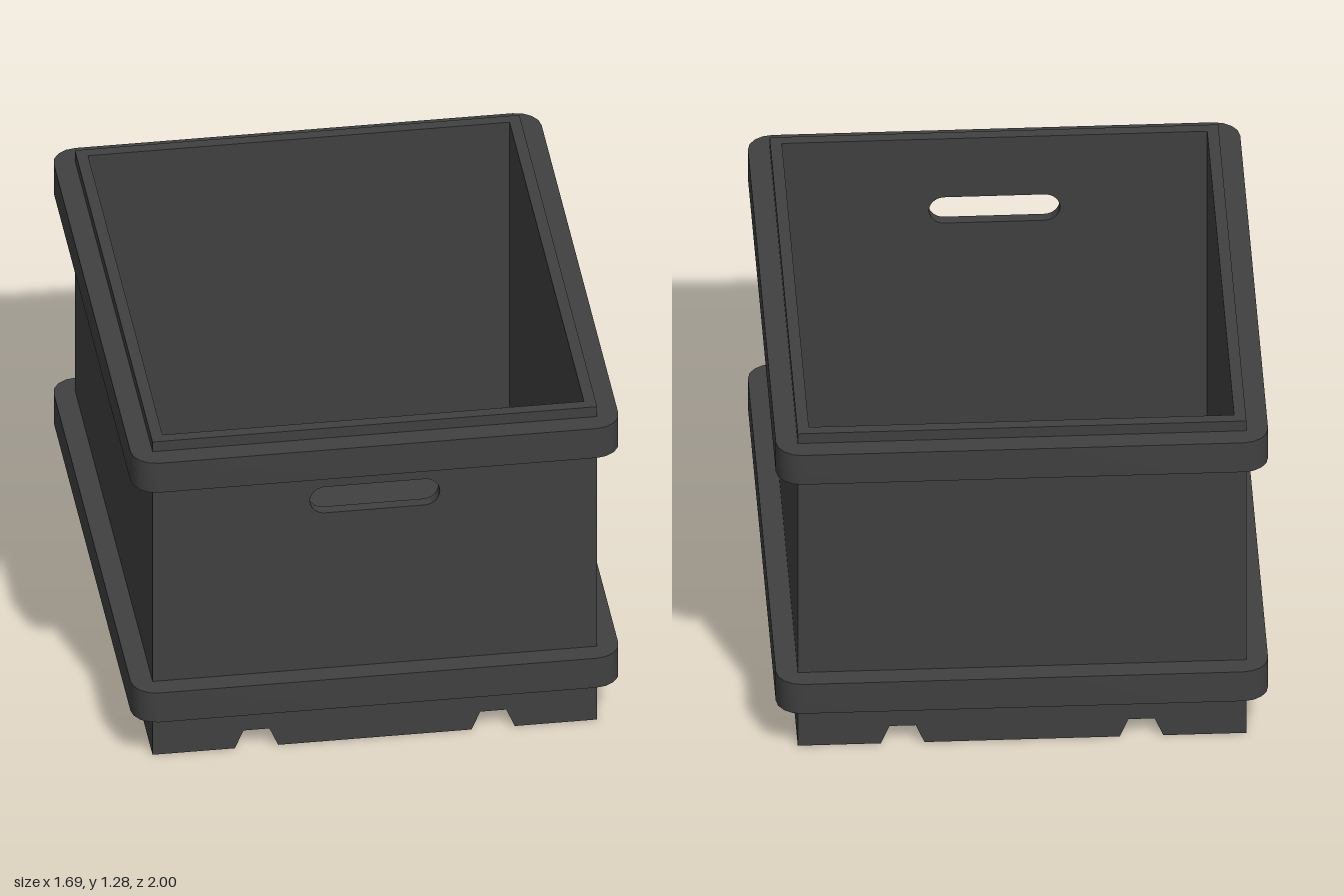
import * as THREE from 'three';
import { mergeGeometries, toCreasedNormals } from 'three/addons/utils/BufferGeometryUtils.js';

const W = 0.77, D = 0.925, H = 1.28; // outer half width, half depth, height
const T = 0.04, FLOOR = 0.11;        // wall thickness, inside floor height
const IW = W - T, ID = D - T;

const vec = (pts) => pts.map(([x, y]) => new THREE.Vector2(x, y));
const rect = (x, y0, y1) => vec([[-x, y0], [x, y0], [x, y1], [-x, y1]]);

// Underside profile from -x to +x, with two runner grooves
const groove = (c) => [[c - 0.075, 0], [c - 0.045, 0.07], [c + 0.045, 0.07], [c + 0.075, 0]];
const underside = vec([[-W, 0], ...groove(-0.41), ...groove(0.41), [W, 0]]);

// Pill-shaped hand hole, clockwise
function handHole() {
  const r = 0.053, x = 0.172, y = 0.987;
  const p = new THREE.Path();
  p.absarc(x, y, r, Math.PI / 2, -Math.PI / 2, true);
  p.absarc(-x, y, r, -Math.PI / 2, -Math.PI * 1.5, true);
  p.closePath();
  return p;
}

// Flat panel with optional hole, turned and moved into place
function panel(points, hole, [rx, ry], [x, y, z]) {
  const shape = new THREE.Shape(points);
  if (hole) shape.holes.push(hole);
  const g = new THREE.ShapeGeometry(shape, 10).toNonIndexed();
  g.deleteAttribute('uv');
  return g.rotateX(rx).rotateY(ry).translate(x, y, z);
}

// Strip that sweeps a profile in the xy plane from z0 to z1
function ribbon(points, z0, z1) {
  const pos = [];
  for (let i = 0; i < points.length - 1; i++) {
    const a = points[i], b = points[i + 1];
    if (a.distanceTo(b) < 1e-6) continue;
    pos.push(a.x, a.y, z0, b.x, b.y, z0, b.x, b.y, z1);
    pos.push(a.x, a.y, z0, b.x, b.y, z1, a.x, a.y, z1);
  }
  const g = new THREE.BufferGeometry();
  g.setAttribute('position', new THREE.Float32BufferAttribute(pos, 3));
  g.computeVertexNormals();
  return g;
}

function bodyGeometry() {
  const end = [...underside, new THREE.Vector2(W, H), new THREE.Vector2(-W, H)];
  const half = Math.PI / 2, flat = [-half, 0];
  const parts = [
    // outside walls
    panel(end, handHole(), [0, 0], [0, 0, D]),
    panel(end, null, [0, Math.PI], [0, 0, -D]),
    // inside walls
    panel(rect(IW, FLOOR, H), handHole(), [0, Math.PI], [0, 0, ID]),
    panel(rect(IW, FLOOR, H), null, [0, 0], [0, 0, -ID]),
    // floor, rim, underside and hand hole lining
    panel(rect(IW, -ID, ID), null, flat, [0, FLOOR, 0]),
    panel(rect(W, -D, D), new THREE.Path(rect(IW, -ID, ID)), flat, [0, H, 0]),
    ribbon(underside, -D, D),
    ribbon(handHole().getPoints(10), ID, D),
  ];
  for (const s of [-1, 1]) {
    parts.push(panel(rect(D, 0, H), null, [0, s * half], [s * W, 0, 0]));
    parts.push(panel(rect(ID, FLOOR, H), null, [0, -s * half], [s * IW, 0, 0]));
  }
  return toCreasedNormals(mergeGeometries(parts), 0.6);
}

// Protruding band with softened corners
function bandGeometry() {
  const x = 0.845, z = 1, r = 0.088, q = Math.PI / 2;
  const s = new THREE.Shape();
  s.absarc(x - r, z - r, r, 0, q);
  s.absarc(r - x, z - r, r, q, 2 * q);
  s.absarc(r - x, r - z, r, 2 * q, 3 * q);
  s.absarc(x - r, r - z, r, 3 * q, 4 * q);
  s.holes.push(new THREE.Path(rect(W - 0.01, 0.01 - D, D - 0.01)));
  const g = new THREE.ExtrudeGeometry(s, { depth: 0.12, bevelEnabled: false, curveSegments: 2 });
  return toCreasedNormals(g.rotateX(-q), 0.9);
}

export function createModel() {
  const group = new THREE.Group();
  group.name = 'storageCrate';
  const material = new THREE.MeshStandardMaterial({ color: 0x404040 });
  const add = (name, geometry, y) => {
    const mesh = new THREE.Mesh(geometry, material);
    mesh.name = name;
    mesh.position.y = y;
    group.add(mesh);
  };
  add('crateBody', bodyGeometry(), 0);
  // Only the outer side of the walls carries the bands
  add('lowerBand', bandGeometry(), 0.18);
  add('upperBand', bandGeometry(), 1.12);
  return group;
}
